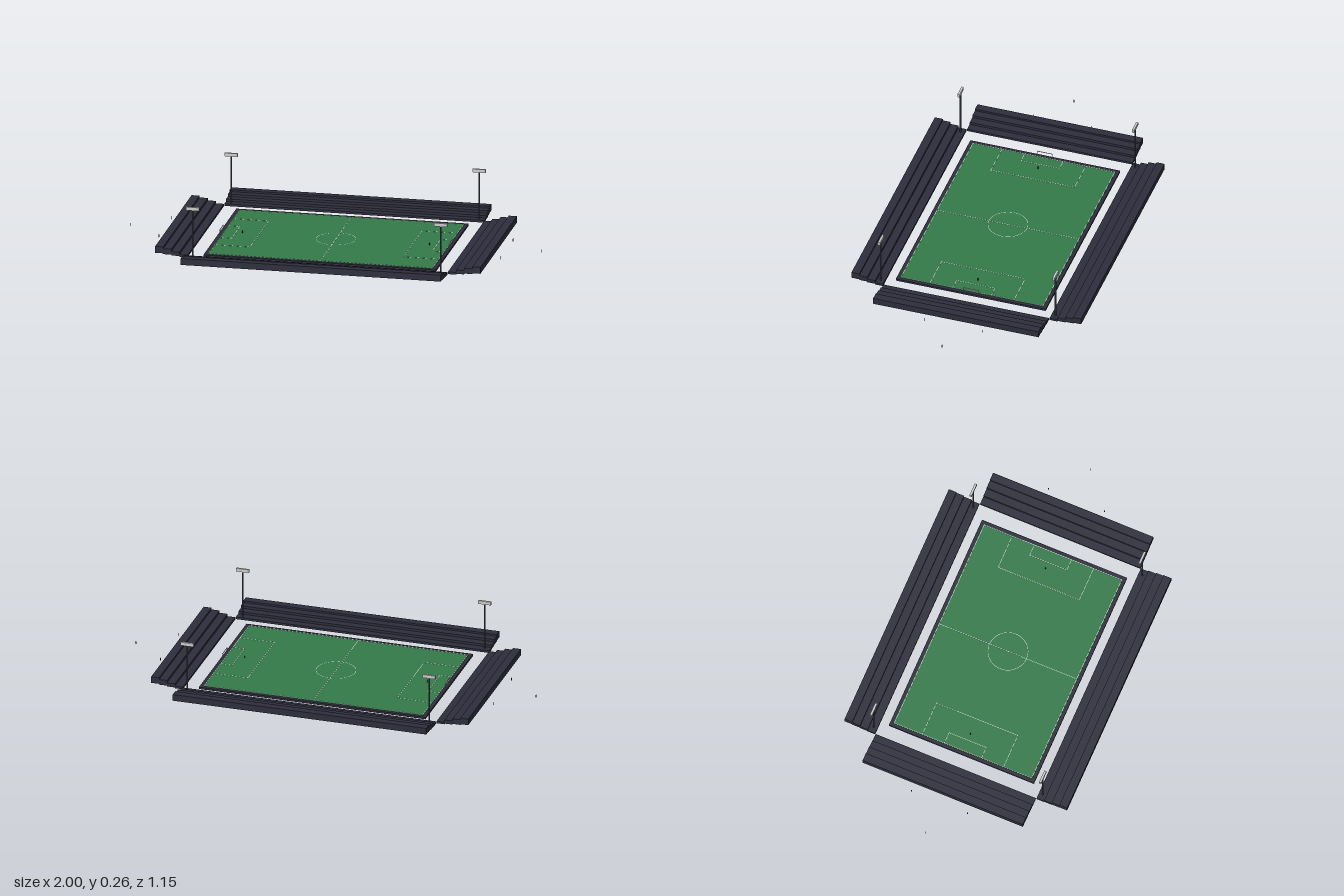
import * as THREE from 'three';

const mat = (name, color) => {
  const m = new THREE.MeshStandardMaterial({ color });
  m.name = name;
  return m;
};

export function createModel() {
  const root = new THREE.Group();
  root.name = 'footballStadium';
  const concrete = mat('dark concrete', 0x2d2d3c);
  const grass = mat('grass green', 0x357a4a);
  const white = mat('line white', 0xf0f0f0);
  const steel = mat('pole steel', 0x444a55);
  const lamp = mat('lamp grey', 0xcccccc);
  const dark = mat('figure dark', 0x22222c);

  const add = (parent, name, geo, material, x, y, z) => {
    const m = new THREE.Mesh(geo, material);
    m.name = name;
    m.position.set(x, y, z);
    parent.add(m);
    return m;
  };
  const box = (parent, name, material, w, h, d, x, y, z) =>
    add(parent, name, new THREE.BoxGeometry(w, h, d), material, x, y, z);
  const group = (name) => {
    const g = new THREE.Group();
    g.name = name;
    root.add(g);
    return g;
  };

  // Ground slab and grass
  box(root, 'groundSlab', concrete, 1.13, 0.01, 0.75, 0, 0.005, 0);
  box(root, 'grass', grass, 1.094, 0.002, 0.716, 0, 0.0105, 0);

  // Pitch markings
  const lines = group('pitchMarkings');
  const HX = 0.545, HZ = 0.355, LW = 0.0018, LY = 0.0118;
  const line = (x0, z0, x1, z1) => box(lines, 'line', white,
    Math.abs(x1 - x0) + LW, 0.0008, Math.abs(z1 - z0) + LW, (x0 + x1) / 2, LY, (z0 + z1) / 2);
  line(0, -HZ, 0, HZ);
  for (const s of [-1, 1]) {
    line(-HX, s * HZ, HX, s * HZ);
    line(s * HX, -HZ, s * HX, HZ);
    // Penalty area and goal area
    for (const [depth, half] of [[0.172, 0.21], [0.057, 0.096]]) {
      const x = s * (HX - depth);
      line(x, -half, x, half);
      for (const t of [-1, 1]) line(s * HX, t * half, x, t * half);
    }
  }
  const ring = new THREE.RingGeometry(0.0946, 0.0964, 48).rotateX(-Math.PI / 2);
  add(lines, 'centreCircle', ring, white, 0, LY + 0.0004, 0);
  const spot = new THREE.CircleGeometry(0.003, 12).rotateX(-Math.PI / 2);
  add(lines, 'centreSpot', spot, white, 0, LY + 0.0006, 0);

  // Goals: two posts and a crossbar
  for (const s of [-1, 1]) {
    const goal = group('goal');
    const x = s * 0.556;
    for (const t of [-1, 1]) box(goal, 'goalPost', lamp, 0.0025, 0.024, 0.0025, x, 0.022, t * 0.038);
    box(goal, 'crossbar', lamp, 0.0025, 0.0025, 0.0785, x, 0.0338, 0);
  }

  // Four stepped stands: [length, inner distance, turn about y]
  const tiers = [[0.006, 0.017], [0.01, 0.029], [0.014, 0.041], [0.018, 0.05]];
  const stand = (length, inner, turn) => {
    const g = group('stand');
    tiers.forEach(([y0, y1], i) =>
      box(g, 'standTier', concrete, length, y1 - y0, 0.0395, 0, (y0 + y1) / 2, inner + 0.0395 * (i + 0.5)));
    g.rotation.y = turn;
  };
  for (const s of [0, 1]) {
    stand(1.264, 0.417, s * Math.PI);
    stand(0.828, 0.633, Math.PI / 2 + s * Math.PI);
  }

  // Floodlights near the corners
  for (const sx of [-1, 1]) for (const sz of [-1, 1]) {
    const g = group('floodlight');
    g.position.set(sx * 0.603, 0, sz * 0.437);
    add(g, 'lightPole', new THREE.CylinderGeometry(0.004, 0.004, 0.24, 8), steel, 0, 0.131, 0);
    box(g, 'lampHead', lamp, 0.064, 0.016, 0.011, 0, 0.257, 0);
  }

  // Tiny standing figures
  const spots = [[0.455, 0], [0.998, 0], [0.83, 0.145], [0.83, -0.145]];
  for (const s of [-1, 1]) for (const [x, z] of spots) {
    const g = group('figure');
    g.position.set(s * x, 0, z);
    add(g, 'body', new THREE.CylinderGeometry(0.002, 0.002, 0.012, 8), dark, 0, 0.0165, 0);
    add(g, 'head', new THREE.SphereGeometry(0.0018, 8, 6), dark, 0, 0.0238, 0);
  }
  return root;
}
